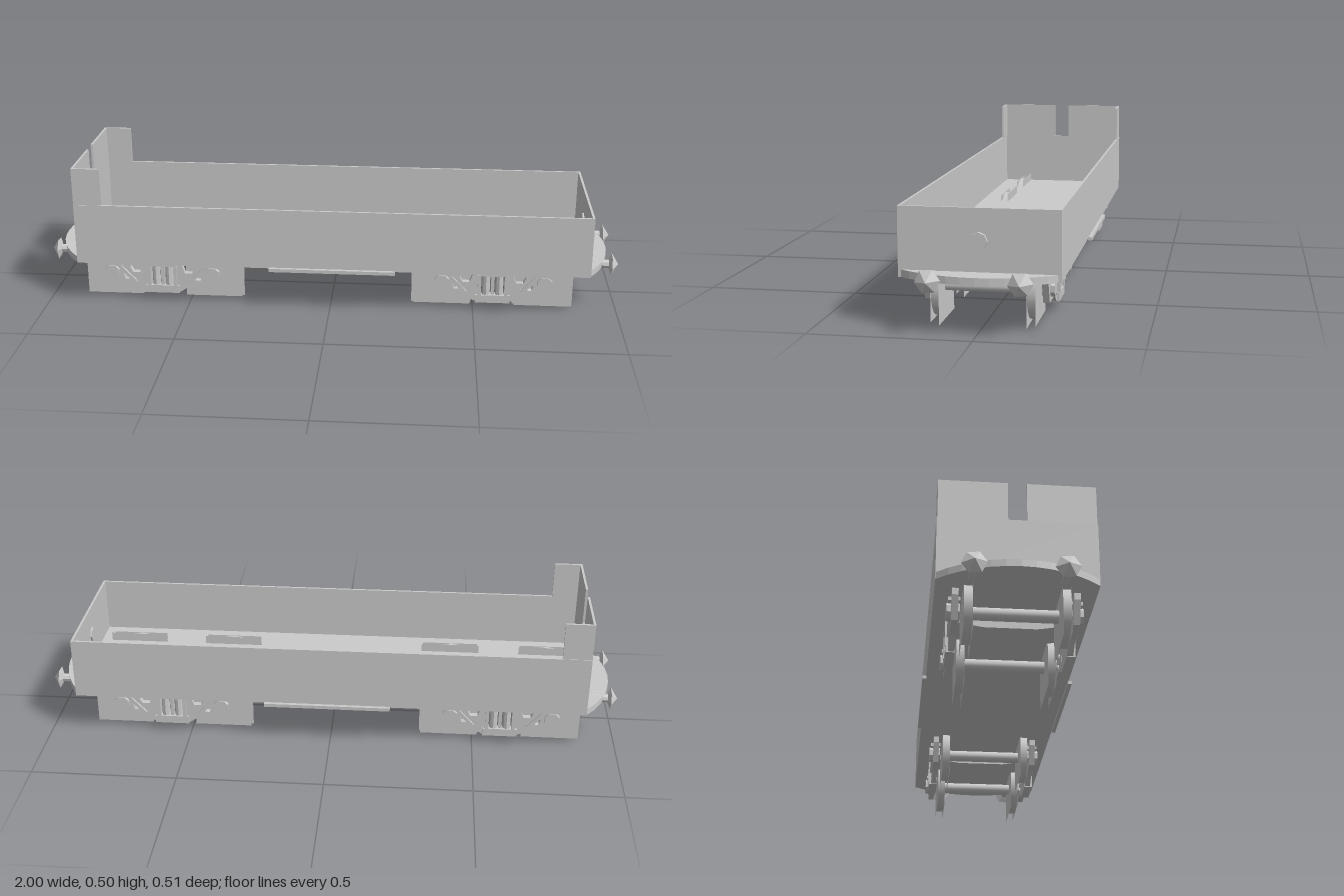
import * as THREE from 'three';

const grey = new THREE.MeshStandardMaterial({ color: 0xcccccc, flatShading: true, side: THREE.DoubleSide });
const smooth = new THREE.MeshStandardMaterial({ color: 0xcccccc, side: THREE.DoubleSide });

function add(parent, name, geometry, x = 0, y = 0, z = 0, material = grey) {
  const mesh = new THREE.Mesh(geometry, material);
  mesh.name = name;
  mesh.position.set(x, y, z);
  parent.add(mesh);
  return mesh;
}

// Box given by its limits on each axis
function block(parent, name, x0, x1, y0, y1, z0, z1) {
  return add(parent, name, new THREE.BoxGeometry(x1 - x0, y1 - y0, z1 - z0),
    (x0 + x1) / 2, (y0 + y1) / 2, (z0 + z1) / 2);
}

const vectors = pts => pts.map(p => new THREE.Vector2(...p));
const mirrored = pts => pts.map(([x, y]) => [-x, y]);

// Floor with bowed end platforms
function makeFloor(parent) {
  const pts = [];
  const bow = (x, reach, dir) => {
    const half = 0.243;
    const r = (half * half + reach * reach) / (2 * reach);
    const a = Math.asin(half / r);
    for (let i = 0; i <= 12; i++) {
      const t = -a + (2 * a * i) / 12;
      pts.push([x + dir * (r * Math.cos(t) - r + reach), dir * r * Math.sin(t)]);
    }
  };
  bow(0.89, 0.08, 1);
  bow(-0.885, 0.095, -1);
  const g = new THREE.ExtrudeGeometry(new THREE.Shape(vectors(pts)), { depth: 0.023, bevelEnabled: false });
  g.rotateX(-Math.PI / 2);
  add(parent, 'floor', g, 0, 0.157, 0);
}

// Side frame of a bogie, seen along z, origin at the bogie centre
function makeSideFrame() {
  const frame = new THREE.Group();
  frame.name = 'bogieSideFrame';
  const half = [[0.065, 0.035], [0.11, 0.065], [0.21, 0.065], [0.24, 0.135], [0.24, 0.157]];
  const outline = new THREE.Shape(vectors([...half, ...mirrored(half).reverse()]));
  const upperWindow = [[0.07, 0.135], [0.08, 0.105], [0.105, 0.105], [0.115, 0.125], [0.105, 0.138]];
  const gap = [[0.006, 0.06], [0.04, 0.06], [0.04, 0.135], [0.006, 0.135]];
  const slot = [[0.095, 0.082], [0.135, 0.078], [0.14, 0.1]];
  for (const hole of [upperWindow, gap, slot])
    for (const pts of [hole, mirrored(hole)])
      outline.holes.push(new THREE.Path(vectors(pts)));
  add(frame, 'framePlate', new THREE.ExtrudeGeometry(outline, { depth: 0.02, bevelEnabled: false }), 0, 0, 0.173);

  // Spring pocket
  block(frame, 'springPlank', -0.06, 0.06, 0.032, 0.06, 0.172, 0.201);
  block(frame, 'springCap', -0.05, 0.05, 0.132, 0.146, 0.172, 0.203);
  for (const s of [-1, 1]) {
    add(frame, 'spring', new THREE.CylinderGeometry(0.014, 0.014, 0.076, 8), s * 0.023, 0.096, 0.184);
    block(frame, 'springGuide', s * 0.046 - 0.006, s * 0.046 + 0.006, 0.058, 0.135, 0.172, 0.203);
    // Axle box with its saddle
    const box = new THREE.CylinderGeometry(0.028, 0.028, 0.04, 8);
    box.rotateX(Math.PI / 2).rotateZ(Math.PI / 8);
    add(frame, 'axleBox', box, s * 0.178, 0.107, 0.187);
    block(frame, 'axleSaddle', s * 0.178 - 0.035, s * 0.178 + 0.035, 0.13, 0.142, 0.166, 0.203);
    // Slanted brace
    const brace = add(frame, 'brace', new THREE.BoxGeometry(0.012, 0.09, 0.009), s * 0.125, 0.1, 0.195);
    brace.rotation.z = -s * 0.75;
  }
  return frame;
}

function makeBogie(x) {
  const bogie = new THREE.Group();
  bogie.name = 'bogie';
  bogie.position.x = x;
  for (const s of [-1, 1]) {
    const side = makeSideFrame();
    side.rotation.y = s > 0 ? 0 : Math.PI;
    bogie.add(side);

    // Wheelset: square wheel faces, a round tread between them, and the axle
    const axle = new THREE.CylinderGeometry(0.02, 0.02, 0.27, 12).rotateX(Math.PI / 2);
    add(bogie, 'axle', axle, s * 0.178, 0.105, 0, smooth);
    for (const t of [-1, 1]) {
      add(bogie, 'wheelFace', new THREE.PlaneGeometry(0.2, 0.194), s * 0.178, 0.105, t * 0.16);
      add(bogie, 'wheelFlange', new THREE.PlaneGeometry(0.21, 0.21), s * 0.178, 0.105, t * 0.133);
      const tread = new THREE.CylinderGeometry(0.096, 0.096, 0.027, 20, 1, true).rotateX(Math.PI / 2);
      add(bogie, 'wheelTread', tread, s * 0.178, 0.105, t * 0.1465, smooth);
    }
  }
  // Bolster, deeper in the middle
  const half = [[0.085, 0.125], [0.175, 0.14], [0.175, 0.157]];
  const bolster = new THREE.Shape(vectors([...half, ...mirrored(half).reverse()]));
  const g = new THREE.ExtrudeGeometry(bolster, { depth: 0.11, bevelEnabled: false });
  g.translate(0, 0, -0.055).rotateY(Math.PI / 2);
  add(bogie, 'bolster', g);
  return bogie;
}

// Bumper with a pointed six-sided head, pointing along +x
function makeBumper() {
  const bumper = new THREE.Group();
  bumper.name = 'bumper';
  const along = g => g.rotateZ(-Math.PI / 2).rotateX(0.1);
  add(bumper, 'bumperHead', along(new THREE.ConeGeometry(0.039, 0.024, 6)), 0.988);
  add(bumper, 'bumperBack', along(new THREE.CylinderGeometry(0.039, 0.014, 0.01, 6)), 0.971);
  add(bumper, 'bumperShaft', along(new THREE.CylinderGeometry(0.015, 0.015, 0.08, 8)), 0.93);
  return bumper;
}

export function createModel() {
  const model = new THREE.Group();
  model.name = 'openWagon';
  makeFloor(model);

  // Open tub
  const w = 0.008;
  block(model, 'endWallLeft', 0.895 - w, 0.895, 0.157, 0.372, -0.244, 0.244);
  block(model, 'endWallRight', -0.885, -0.885 + w, 0.157, 0.372, -0.244, 0.244);
  for (const s of [-1, 1]) {
    const side = (name, x0, x1, y0, y1, za, zb) =>
      block(model, name, x0, x1, y0, y1, Math.min(s * za, s * zb), Math.max(s * za, s * zb));
    side('sideWall', -0.885, 0.895, 0.157, 0.372, 0.245 - w, 0.245);
    // Raised screen at one end, folded round the corner
    side('endScreen', -0.885, -0.885 + w, 0.372, 0.503, 0.029, 0.243);
    side('cornerScreen', -0.885, -0.786, 0.372, 0.503, 0.243 - w, 0.243);
    side('sideStep', -0.21, 0.228, 0.148, 0.16, 0.243, 0.257);
    // Bumpers at both ends
    for (const e of [-1, 1]) {
      const bumper = makeBumper();
      bumper.position.set(0, 0.166, s * 0.137);
      bumper.rotation.y = e > 0 ? 0 : Math.PI;
      model.add(bumper);
    }
  }

  // Round hub through the end wall
  const hub = new THREE.CylinderGeometry(0.027, 0.027, 0.026, 8).rotateZ(Math.PI / 2);
  add(model, 'endHub', hub, 0.894, 0.274, 0);

  model.add(makeBogie(-0.596), makeBogie(0.567));
  return model;
}
